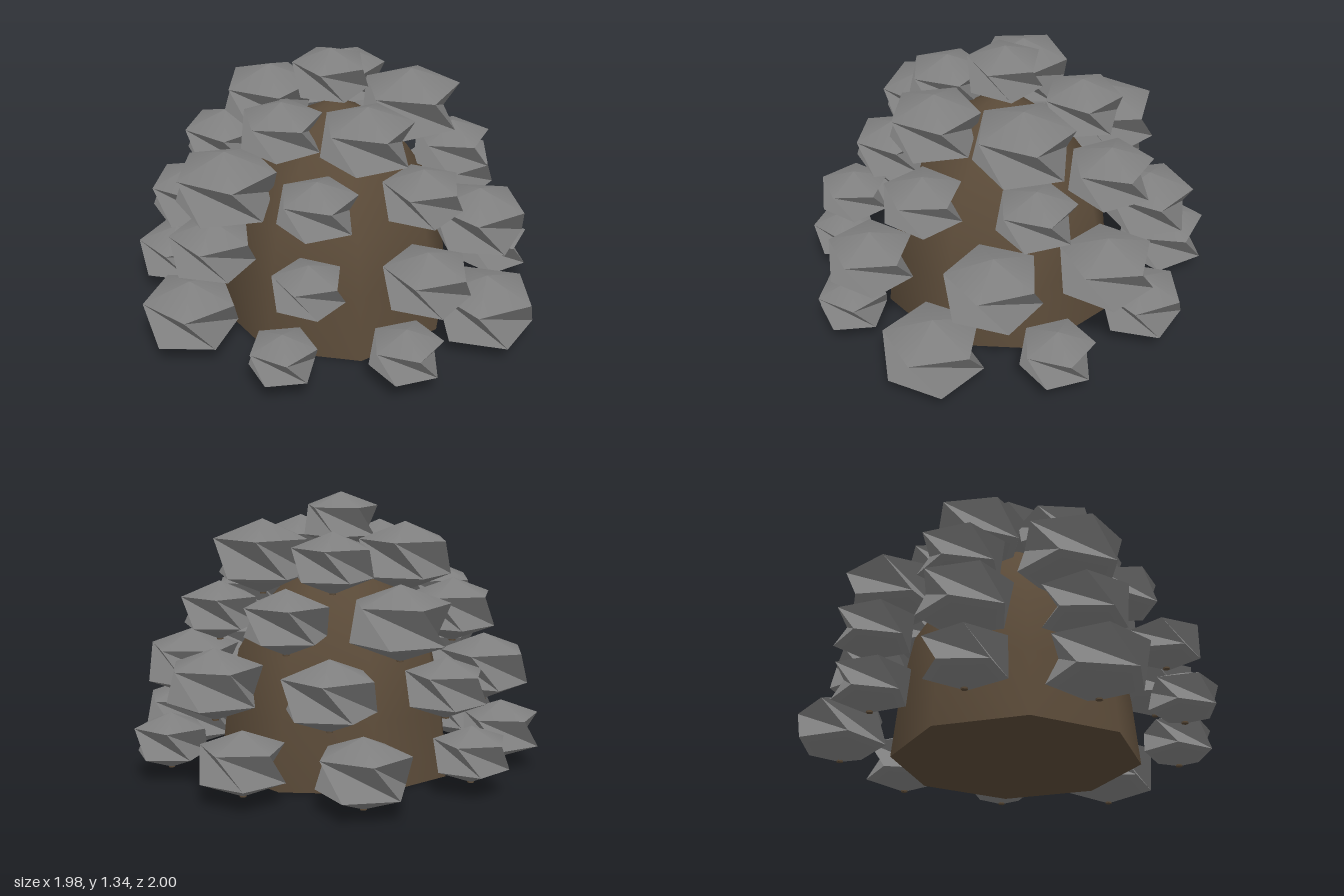
import * as THREE from 'three';
import { toCreasedNormals } from 'three/addons/utils/BufferGeometryUtils.js';

const SIDES = 5;

// Squat twisted stone of unit radius: two pentagon rings joined by sheared facets, with shallow caps
function stoneGeometry() {
  const pos = [0, 0.76, 0, 0, -0.76, 0];
  for (const [y, twist] of [[0.38, 0], [-0.38, Math.PI / SIDES]]) {
    for (let i = 0; i < SIDES; i++) {
      const a = (i / SIDES) * Math.PI * 2 + twist;
      pos.push(Math.cos(a), y, -Math.sin(a));
    }
  }
  const index = [];
  const up = i => 2 + (i % SIDES);
  const low = i => 2 + SIDES + (i % SIDES);
  for (let i = 0; i < SIDES; i++) {
    index.push(0, up(i), up(i + 1));              // top cap
    index.push(1, low(i + 1), low(i));            // bottom cap
    index.push(up(i), low(i), low(i + 1));        // sheared sides
    index.push(up(i), low(i + 1), up(i + 1));
  }
  const geo = new THREE.BufferGeometry();
  geo.setAttribute('position', new THREE.Float32BufferAttribute(pos, 3));
  geo.setIndex(index);
  return toCreasedNormals(geo, 0.6);
}

// Tiers from the ground up: height, then [x, z, radius, turn in degrees] for each stone
const tiers = [
  { y: 0.18, stones: [
    [0.14, 0.83, 0.17, 60], [-0.41, 0.74, 0.16, 50], [0.6, 0.56, 0.235, 28],
    [0.81, 0.03, 0.175, 0], [0.59, -0.48, 0.2, 40], [0.13, -0.79, 0.215, 10],
    [-0.44, -0.65, 0.175, 45], [-0.77, -0.26, 0.19, 30], [-0.77, 0.3, 0.225, 40]] },
  { y: 0.5, stones: [
    [0.25, 0.75, 0.2, 23], [-0.28, 0.7, 0.165, 20], [0.64, 0.28, 0.225, 35],
    [0.66, -0.26, 0.22, 23], [0.24, -0.65, 0.215, 64], [-0.31, -0.65, 0.185, 44],
    [-0.67, -0.26, 0.215, 50], [-0.65, 0.27, 0.2, 30]] },
  { y: 0.79, stones: [
    [-0.57, 0.22, 0.24, 53], [-0.2, 0.51, 0.185, 62], [0.29, 0.5, 0.185, 20],
    [0.56, 0.05, 0.185, 0], [0.36, -0.39, 0.2, 5], [-0.12, -0.57, 0.23, 22],
    [-0.5, -0.27, 0.2, 44]] },
  { y: 1.04, stones: [
    [0.35, 0.04, 0.235, 67], [0.06, 0.37, 0.215, 64], [-0.3, 0.2, 0.19, 0],
    [-0.29, -0.18, 0.22, 56], [0.12, -0.33, 0.19, 60]] },
  { y: 1.205, stones: [[-0.03, 0, 0.178, 27]] },
];

export function createModel() {
  const model = new THREE.Group();
  const stoneGrey = new THREE.MeshStandardMaterial({ color: 0x808080 });
  stoneGrey.name = 'stone grey';
  const earthBrown = new THREE.MeshStandardMaterial({ color: 0x5a4a38 });
  earthBrown.name = 'earth brown';

  // Eight-sided domed core with a flat base
  const profile = [[0, 0], [0.585, 0], [0.55, 0.32], [0.49, 0.6], [0.35, 0.82], [0.18, 1.0], [0, 1.1]]
    .map(p => new THREE.Vector2(...p));
  const core = new THREE.Mesh(toCreasedNormals(new THREE.LatheGeometry(profile, 8), 1.0), earthBrown);
  core.name = 'core';
  core.position.set(-0.015, 0, 0.03);
  model.add(core);

  // Stones, each with a tiny brown stub underneath
  const stoneGeo = stoneGeometry();
  const stubGeo = new THREE.CylinderGeometry(0.016, 0.016, 0.03, 6);
  tiers.forEach(({ y, stones }, t) => {
    const tier = new THREE.Group();
    tier.name = `stoneTier${t + 1}`;
    for (const [x, z, r, turn] of stones) {
      const stone = new THREE.Mesh(stoneGeo, stoneGrey);
      stone.name = 'stone';
      stone.position.set(x, y, z);
      stone.scale.setScalar(r);
      stone.rotation.y = THREE.MathUtils.degToRad(turn);
      const stub = new THREE.Mesh(stubGeo, earthBrown);
      stub.name = 'stub';
      stub.position.set(x, y - 0.76 * r + 0.014, z);
      tier.add(stone, stub);
    }
    model.add(tier);
  });
  return model;
}
